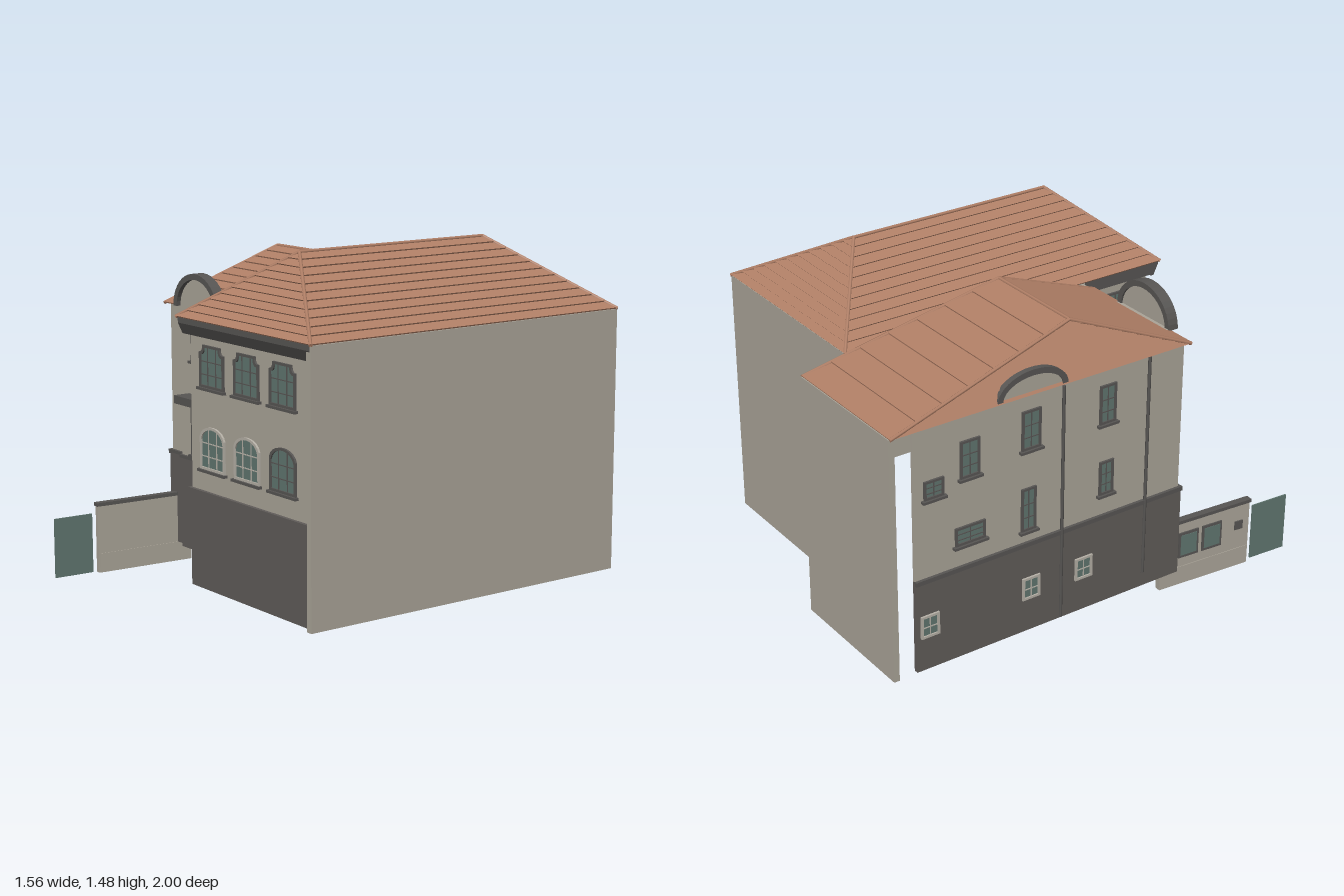
import * as THREE from 'three';

const mat = (name, color, side = THREE.FrontSide) => {
  const m = new THREE.MeshStandardMaterial({ color, side });
  m.name = name;
  return m;
};

export function createModel() {
  const model = new THREE.Group();
  model.name = 'townHouse';
  const plaster = mat('plaster', 0xaaa498);
  const stone = mat('darkStone', 0x605c59);
  const trim = mat('trim', 0x575553);
  const glass = mat('glass', 0x60756f);
  const tiles = mat('roofTiles', 0xb07f66, THREE.DoubleSide);
  const pale = mat('paleFrame', 0xb5b0a6);
  const V = (x, y, z) => new THREE.Vector3(x, y, z);

  const add = (name, geo, material, parent = model) => {
    const mesh = new THREE.Mesh(geo, material);
    mesh.name = name;
    parent.add(mesh);
    return mesh;
  };
  const boxGeo = (x0, x1, y0, y1, z0, z1) =>
    new THREE.BoxGeometry(x1 - x0, y1 - y0, z1 - z0).translate((x0 + x1) / 2, (y0 + y1) / 2, (z0 + z1) / 2);
  const box = (name, material, ...b) => add(name, boxGeo(...b), material);
  const extrude = (shape, depth, z = 0) =>
    new THREE.ExtrudeGeometry(shape, { depth, bevelEnabled: false, curveSegments: 10 }).translate(0, 0, z);

  // ---- Walls of the right block
  box('endWall', plaster, 0.745, 0.772, 0.085, 1.19, -0.8, 0.77);
  box('backWall', plaster, -0.14, 0.745, 0.085, 1.19, -0.8, -0.785);
  box('frontWall', plaster, -0.09, 0.745, 0.495, 1.19, 0.723, 0.735);
  box('frontCornerStrip', plaster, 0.72, 0.745, 0.085, 0.495, 0.723, 0.735);
  box('frontBase', stone, -0.095, 0.72, 0.085, 0.43, 0.723, 0.74);
  box('frontBaseBand', stone, -0.097, 0.72, 0.43, 0.465, 0.723, 0.745);
  box('frontBaseCap', stone, -0.1, 0.72, 0.465, 0.495, 0.723, 0.75);
  box('returnWall', plaster, -0.09, -0.078, 0.495, 1.19, 0.39, 0.723);
  box('returnBase', stone, -0.095, -0.078, 0.085, 0.495, 0.39, 0.723);
  box('returnCornice', trim, -0.125, -0.09, 1.13, 1.192, 0.41, 0.735);

  // Flared cornice under the front eave
  const cornice = new THREE.Shape([[0.735, 1.125], [0.75, 1.125], [0.772, 1.17], [0.772, 1.192], [0.735, 1.192]]
    .map(([z, y]) => new THREE.Vector2(-z, y)));
  const corniceMesh = add('frontCornice', extrude(cornice, 0.89), trim);
  corniceMesh.rotation.y = Math.PI / 2;
  corniceMesh.position.x = -0.125;

  // ---- Walls of the left block
  box('rearWall', plaster, -0.77, -0.14, 0.085, 1.15, -1, -0.975);
  box('sideWall', plaster, -0.757, -0.745, 0.495, 1.16, -0.89, 0.4);
  box('sideBase', stone, -0.765, -0.745, 0.085, 0.495, -0.89, 0.41);
  box('sideBaseCap', trim, -0.77, -0.757, 0.478, 0.497, -0.89, 0.415);
  box('wingFrontWall', plaster, -0.757, -0.09, 0.495, 1.16, 0.388, 0.4);
  box('wingFrontBase', stone, -0.765, -0.09, 0.085, 0.495, 0.388, 0.408);
  box('wingBaseCap', trim, -0.77, -0.09, 0.483, 0.497, 0.4, 0.413);
  box('bayBase', stone, -0.64, -0.31, 0.085, 0.495, 0.4, 0.435);
  box('bayBaseCap', trim, -0.645, -0.305, 0.483, 0.497, 0.4, 0.44);
  box('bayWall', plaster, -0.64, -0.31, 0.495, 1.16, 0.4, 0.428);

  // Rounded gable: plaster half disc with a dark curved coping
  const gable = (name, rx, ry, zPlate, zFront) => {
    const g = new THREE.Group();
    g.name = name;
    const disc = new THREE.Shape();
    disc.absellipse(0, 0, rx - 0.01, ry - 0.01, 0, Math.PI, false);
    add('gablePlate', extrude(disc, 0.02, zPlate), plaster, g);
    const rim = new THREE.Shape();
    rim.absellipse(0, 0, rx, ry, 0, Math.PI, false);
    rim.absellipse(0, 0, rx - 0.025, ry - 0.025, Math.PI, 0, true);
    add('gableCoping', extrude(rim, zFront, 0), trim, g);
    model.add(g);
    return g;
  };
  gable('bayGable', 0.168, 0.152, 0.008, 0.048).position.set(-0.475, 1.153, 0.412);
  const sideGable = gable('sideGable', 0.165, 0.1, 0.0, 0.025);
  sideGable.position.set(-0.748, 1.155, -0.35);
  sideGable.rotation.y = -Math.PI / 2;

  // ---- Roof slopes laid in overlapping courses: a-b eave, c-d ridge, anticlockwise from outside
  const slope = (name, a, b, c, d, n) => {
    const normal = b.clone().sub(a).cross(d.clone().sub(a)).normalize();
    const pos = [];
    const quad = (p, q, r, s) => [p, q, r, p, r, s].forEach(v => pos.push(v.x, v.y, v.z));
    for (let i = 0; i < n; i++) {
      const l0 = a.clone().lerp(d, i / n), r0 = b.clone().lerp(c, i / n);
      const l1 = a.clone().lerp(d, (i + 1) / n), r1 = b.clone().lerp(c, (i + 1) / n);
      const lu = l0.clone().addScaledVector(normal, 0.006), ru = r0.clone().addScaledVector(normal, 0.006);
      quad(lu, ru, r1, l1);
      quad(l0, r0, ru, lu);
    }
    const geo = new THREE.BufferGeometry();
    geo.setAttribute('position', new THREE.Float32BufferAttribute(pos, 3));
    geo.computeVertexNormals();
    add(name, geo, tiles);
  };
  const ridge = (p, q) => {
    const mesh = add('ridgeTiles', new THREE.CylinderGeometry(0.008, 0.008, p.distanceTo(q), 6), tiles);
    mesh.position.copy(p).add(q).multiplyScalar(0.5);
    mesh.quaternion.setFromUnitVectors(V(0, 1, 0), q.clone().sub(p).normalize());
  };
  // Corners: front left, front right, back right, back left; then the two ridge ends
  const hipRoof = (name, [fl, fr, br, bl], slopes, edges) => {
    slopes([fl, fr, br, bl], (part, ...p) => slope(name + part, ...p));
    edges.forEach(([p, q]) => ridge(p, q));
  };
  const rf = V(0.265, 1.468, 0.45), rb = V(0.265, 1.468, -0.5);
  const R = [V(-0.143, 1.192, 0.77), V(0.773, 1.192, 0.77), V(0.773, 1.192, -0.8), V(-0.143, 1.192, -0.8)];
  hipRoof('mainRoof', R, ([fl, fr, br, bl], s) => {
    s('Front', fl, fr, rf, rf, 11);
    s('Right', fr, br, rb, rf, 11);
    s('Back', br, bl, rb, rb, 11);
    s('Left', bl, fl, rf, rb, 11);
  }, [[rf, rb], [R[0], rf], [R[1], rf], [R[2], rb], [R[3], rb]]);
  const wl = V(-0.685, 1.368, -0.12), wr = V(-0.215, 1.368, -0.12);
  const W = [V(-0.77, 1.148, 0.425), V(-0.135, 1.148, 0.425), V(-0.14, 1.148, -0.995), V(-0.77, 1.148, -0.995)];
  hipRoof('wingRoof', W, ([fl, fr, br, bl], s) => {
    s('Front', fl, fr, wr, wl, 10);
    s('Right', fr, br, wr, wr, 9);
    s('Back', br, bl, wl, wr, 7);
    s('Left', bl, fl, wl, wl, 9);
  }, [[wl, wr], [W[0], wl], [W[1], wr], [W[2], wr], [W[3], wl]]);

  // ---- Windows, built facing +z with the middle of the sill at the origin
  const outline = (w, h, style, inset) => {
    const s = new THREE.Shape(), x = w / 2 - inset, b = inset, t = h - inset;
    s.moveTo(-x, b).lineTo(x, b);
    if (style === 'arch') {
      s.lineTo(x, t - 0.045);
      s.bezierCurveTo(x * 0.8, t + 0.015, -x * 0.8, t + 0.015, -x, t - 0.045);
    } else if (style === 'shoulder') {
      s.lineTo(x, t - 0.03).quadraticCurveTo(x - 0.025, t - 0.03, x - 0.025, t);
      s.lineTo(-x + 0.025, t).quadraticCurveTo(-x + 0.025, t - 0.03, -x, t - 0.03);
    } else s.lineTo(x, t).lineTo(-x, t);
    s.closePath();
    return s;
  };
  const windowAt = (x, y, z, w, h, o = {}) => {
    const { style = 'rect', cols = 2, rows = 2, turn = 0, frame = trim, lean = 0, tilt = 0, sill = true, f = 0.01 } = o;
    const g = new THREE.Group();
    g.name = 'window';
    const skew = new THREE.Matrix4().set(1, lean, 0, 0, tilt, 1, 0, 0, 0, 0, 1, 0, 0, 0, 0, 1);
    const put = (name, geo, m) => add(name, geo.applyMatrix4(skew), m, g);
    put('pane', extrude(outline(w, h, style, 0.004), 0.018, -0.015), glass);
    const ring = outline(w, h, style, 0);
    ring.holes.push(outline(w, h, style, f));
    put('frame', extrude(ring, 0.009), frame);
    for (let i = 1; i < cols; i++) {
      const bx = -w / 2 + (w * i) / cols;
      put('bar', boxGeo(bx - 0.002, bx + 0.002, f, h - f, 0, 0.006), frame);
    }
    for (let i = 1; i < rows; i++) {
      const by = (h * 0.92 * i) / rows;
      put('bar', boxGeo(-w / 2 + f, w / 2 - f, by - 0.002, by + 0.002, 0, 0.006), frame);
    }
    if (sill) put('sill', boxGeo(-w / 2 - 0.01, w / 2 + 0.01, -0.011, 0, 0, 0.018), trim);
    g.position.set(x, y, z);
    g.rotation.y = turn;
    model.add(g);
  };

  // Right block front: two rows of three
  [0.067, 0.308, 0.55].forEach((x, i) => {
    windowAt(x, 0.922, 0.735, 0.17, 0.172, { style: 'shoulder', cols: 3, rows: 3 });
    windowAt(x, 0.586, 0.735, 0.172, 0.178, { style: 'arch', cols: 3, rows: 3, frame: i < 2 ? pale : trim });
  });
  // Bay, stair and vent windows
  windowAt(-0.498, 0.922, 0.428, 0.105, 0.18, { cols: 4, rows: 5 });
  box('bayWindowHead', trim, -0.565, -0.432, 1.097, 1.108, 0.428, 0.444);
  box('bayKeystone', trim, -0.52, -0.475, 1.108, 1.118, 0.428, 0.442);
  windowAt(-0.498, 0.51, 0.428, 0.115, 0.235, { cols: 3, rows: 3 });
  box('bayHood', trim, -0.58, -0.42, 0.74, 0.775, 0.428, 0.505);
  windowAt(-0.216, 0.878, 0.4, 0.062, 0.163, { cols: 2, rows: 3, lean: 0.04, tilt: 0.06 });
  windowAt(-0.234, 0.547, 0.4, 0.062, 0.213, { cols: 2, rows: 3, lean: 0.07, tilt: 0.15 });
  windowAt(-0.255, 0.357, 0.408, 0.09, 0.05, { cols: 3, rows: 2, lean: 0.12, tilt: 0.07 });
  // Return wall
  const left = -Math.PI / 2;
  [[0.91, 0.17], [0.59, 0.18]].forEach(([y, h]) => windowAt(-0.09, y, 0.57, 0.09, h, { turn: left, rows: 3 }));

  // Side facade: z, sill height, width, height
  [[-0.8, 0.84, 0.09, 0.08], [-0.635, 0.88, 0.09, 0.16], [-0.35, 0.91, 0.09, 0.17], [0.02, 0.91, 0.08, 0.17],
    [-0.635, 0.59, 0.14, 0.08], [-0.36, 0.55, 0.07, 0.19], [0.02, 0.59, 0.07, 0.15]]
    .forEach(([z, y, w, h]) => windowAt(-0.757, y, z, w, h, { turn: left, rows: 3 }));
  [-0.83, -0.35, -0.09].forEach(z =>
    windowAt(-0.765, 0.235, z, 0.085, 0.1, { turn: left, frame: pale, sill: false }));
  // Downpipes
  [[-0.2, 0.09, 1.14], [0.22, 0.15, 1.15]].forEach(([z, y0, y1]) => {
    const pipe = add('downpipe', new THREE.CylinderGeometry(0.007, 0.007, y1 - y0, 8), trim);
    pipe.position.set(-0.766, (y0 + y1) / 2, z);
  });

  // ---- Yard wall and gate
  const yard = new THREE.Group();
  yard.name = 'yardWall';
  add('yardWallPanel', boxGeo(-0.011, 0.011, 0, 0.295, 0, 0.455), plaster, yard);
  add('yardWallFoot', boxGeo(-0.014, 0.014, 0, 0.085, 0, 0.45), plaster, yard);
  add('yardWallCap', boxGeo(-0.016, 0.016, 0.295, 0.31, 0, 0.46), trim, yard);
  [[0.09, 0.19], [0.21, 0.31]].forEach(([a, b]) => {
    add('noticeFrame', boxGeo(-0.017, -0.011, 0.13, 0.25, a, b), trim, yard);
    add('noticePane', boxGeo(-0.019, -0.017, 0.142, 0.238, a + 0.01, b - 0.01), glass, yard);
  });
  add('letterBox', boxGeo(-0.017, -0.011, 0.18, 0.22, 0.38, 0.42), trim, yard);
  yard.position.set(-0.722, 0, 0.342);
  yard.rotation.y = -0.075;
  model.add(yard);
  const gate = add('gate', boxGeo(-0.003, 0.003, 0.005, 0.265, 0, 0.18), glass);
  gate.position.set(-0.757, 0, 0.82);
  gate.rotation.y = -0.06;

  return model;
}
